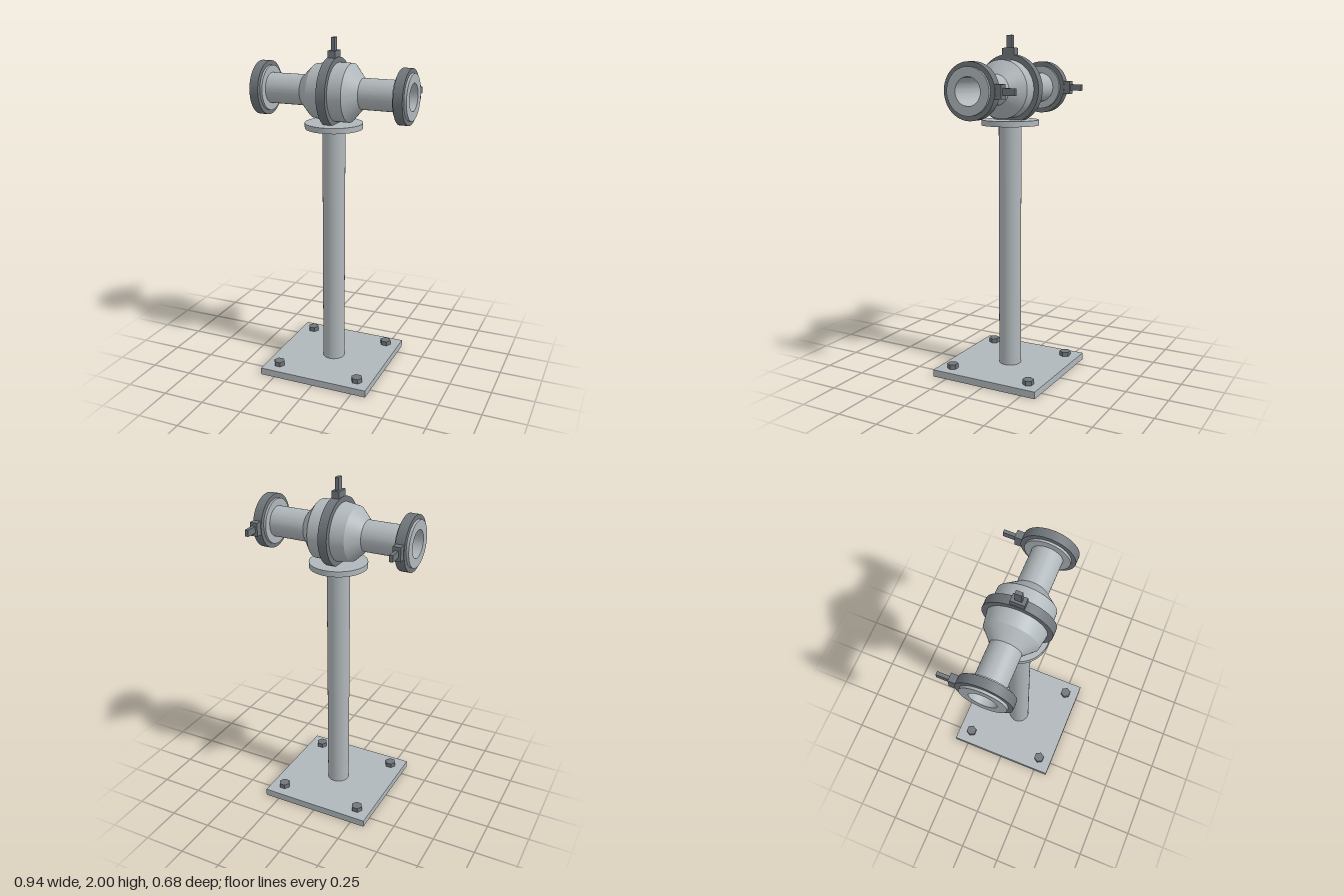
import * as THREE from 'three';
import { toCreasedNormals } from 'three/addons/utils/BufferGeometryUtils.js';

const AXIS_Y = 1.696; // height of the horizontal pipe axis
const BORE = 0.077;

export function createModel() {
  const steel = new THREE.MeshStandardMaterial({ color: 0xb0b7ba });
  steel.name = 'light steel';
  const iron = new THREE.MeshStandardMaterial({ color: 0x70767b });
  iron.name = 'dark iron';

  const model = new THREE.Group();
  model.name = 'valveOnStand';

  const add = (parent, name, geometry, material, x = 0, y = 0, z = 0) => {
    const mesh = new THREE.Mesh(geometry, material);
    mesh.name = name;
    mesh.position.set(x, y, z);
    parent.add(mesh);
    return mesh;
  };

  // Closed [radius, x] profile turned around the x axis
  const turned = (profile) => {
    const points = profile.map(([r, x]) => new THREE.Vector2(r, x));
    const lathe = new THREE.LatheGeometry([...points, points[0]], 64);
    return toCreasedNormals(lathe, 0.13).rotateZ(-Math.PI / 2);
  };

  // Stand: base plate, column and round top plate
  add(model, 'basePlate', new THREE.BoxGeometry(0.676, 0.042, 0.676), steel, 0, 0.021, 0);
  add(model, 'column', new THREE.CylinderGeometry(0.066, 0.066, 1.45, 48), steel, 0, 0.765, 0);
  add(model, 'topPlate', new THREE.CylinderGeometry(0.167, 0.167, 0.032, 64), steel, 0, 1.505, 0);

  // Hexagonal bolt heads at the base corners
  for (const x of [-0.254, 0.254]) {
    for (const z of [-0.254, 0.254]) {
      const bolt = new THREE.CylinderGeometry(0.0335, 0.0335, 0.029, 6).rotateY(Math.PI / 6);
      bolt.computeBoundingBox();
      // corners of the hexagon lie along x
      if (bolt.boundingBox.max.x < bolt.boundingBox.max.z) bolt.rotateY(Math.PI / 2);
      const flat = bolt.toNonIndexed();
      flat.computeVertexNormals();
      add(model, 'bolt', flat, iron, x, 0.0555, z);
    }
  }

  // Hollow pipe with swollen valve body and end flanges
  const body = turned([
    [BORE, -0.47], [0.13, -0.47], [0.13, -0.389], [0.088, -0.389],
    [0.088, -0.176], [0.153, -0.108], [0.166, -0.027], [0.166, 0.108],
    [0.088, 0.176], [0.088, 0.389], [0.13, 0.389], [0.13, 0.47], [BORE, 0.47],
  ]);
  add(model, 'valveBody', body, steel, 0, AXIS_Y, 0);

  // Clamp ring with a lug and a flat handle, built with the handle upwards
  const clamp = (name, x, inner, outer, turn) => {
    const group = new THREE.Group();
    group.name = name;
    group.position.set(x, AXIS_Y, 0);
    group.rotation.x = turn;
    const w = 0.0265;
    add(group, 'clampRing', turned([[inner, -w], [outer, -w], [outer, w], [inner, w]]), iron);
    add(group, 'clampLug', new THREE.BoxGeometry(0.046, 0.046, 0.078), iron, 0, outer + 0.013, 0);
    add(group, 'clampHandle', new THREE.BoxGeometry(0.02, 0.08, 0.038), iron, 0, outer + 0.068, 0);
    model.add(group);
  };
  clamp('centreClamp', 0, 0.15, 0.196, 0);
  clamp('leftClamp', 0.429, 0.125, 0.156, -Math.PI / 2);
  clamp('rightClamp', -0.429, 0.125, 0.156, -Math.PI / 2);

  return model;
}
